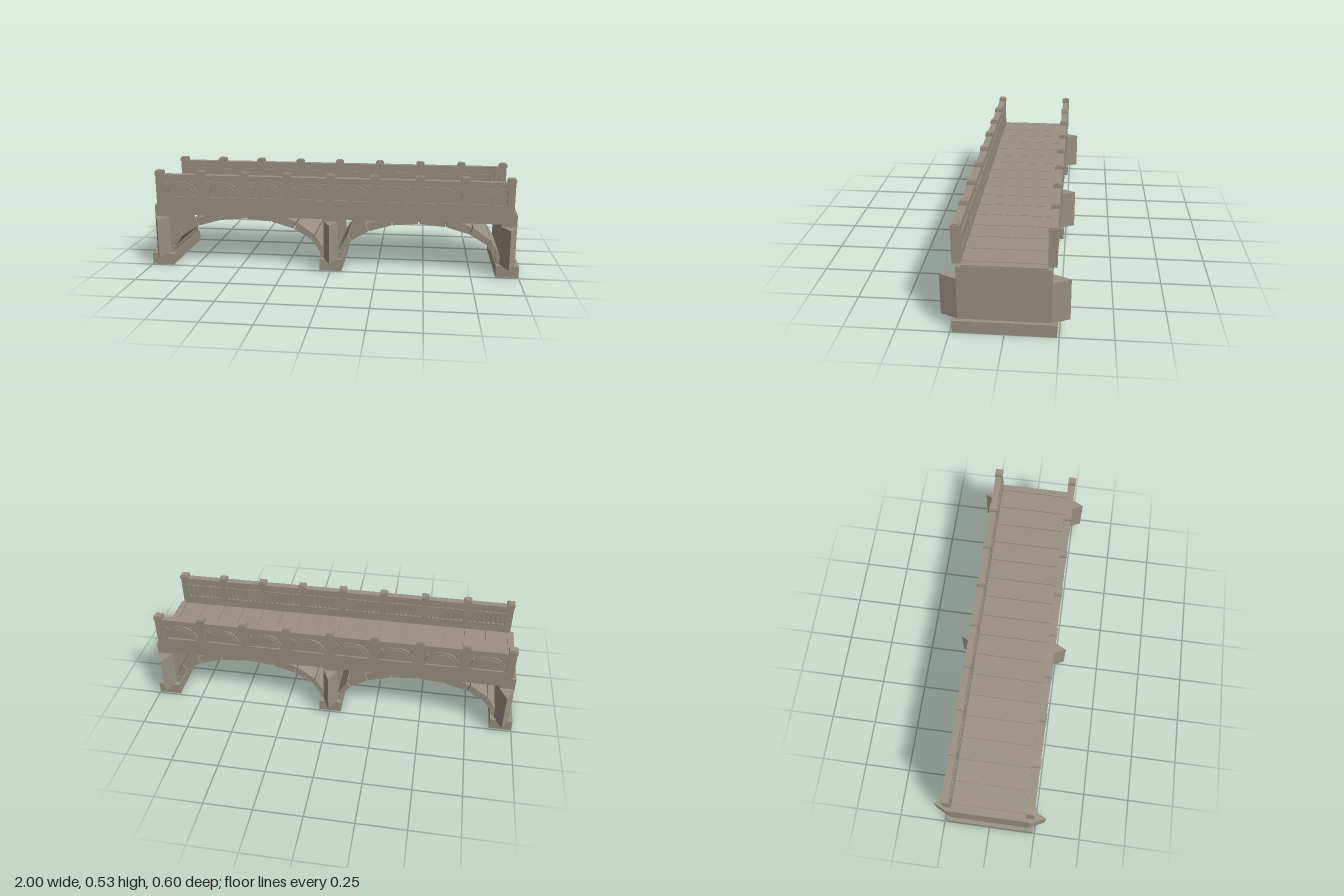
import * as THREE from 'three';

const stone = new THREE.MeshStandardMaterial({ color: 0x989082 });
stone.name = 'stone';

function add(parent, name, geometry) {
  const mesh = new THREE.Mesh(geometry, stone);
  mesh.name = name;
  parent.add(mesh);
  return mesh;
}

// Box given by its limits on each axis
function block(parent, name, x0, x1, y0, y1, z0, z1) {
  const mesh = add(parent, name, new THREE.BoxGeometry(x1 - x0, y1 - y0, z1 - z0));
  mesh.position.set((x0 + x1) / 2, (y0 + y1) / 2, (z0 + z1) / 2);
  return mesh;
}

function extrude(points, depth) {
  const shape = new THREE.Shape(points.map(([x, y]) => new THREE.Vector2(x, y)));
  return new THREE.ExtrudeGeometry(shape, { depth, bevelEnabled: false });
}

// Wedge between two ellipses, from angle a0 to a1 in degrees
function wedge(a0, a1, inner, outer, depth, steps = 1) {
  const pts = [];
  const at = (deg, [rx, ry]) => {
    const a = THREE.MathUtils.degToRad(deg);
    return [Math.cos(a) * rx, Math.sin(a) * ry];
  };
  for (let i = 0; i <= steps; i++) pts.push(at(a0 + (a1 - a0) * i / steps, outer));
  for (let i = steps; i >= 0; i--) pts.push(at(a0 + (a1 - a0) * i / steps, inner));
  return extrude(pts, depth);
}

// Pier with footing and pointed cutwaters
function makePier(x) {
  const pier = new THREE.Group();
  pier.name = 'pier';
  pier.position.x = x;
  block(pier, 'footing', -0.06, 0.06, 0, 0.062, -0.24, 0.24);
  block(pier, 'pierBody', -0.04, 0.04, 0.062, 0.3, -0.215, 0.215);
  for (const s of [1, -1]) {
    const tip = extrude([[-0.04, 0], [0.04, 0], [0, 0.084]], 0.21);
    tip.rotateX(-Math.PI / 2);
    if (s > 0) tip.rotateY(Math.PI);
    const cutwater = add(pier, 'cutwater', tip);
    cutwater.position.set(0, 0.06, s * 0.214);
  }
  return pier;
}

// Arch barrel of separate stones
function makeArch(x) {
  const arch = new THREE.Group();
  arch.name = 'archBarrel';
  arch.position.set(x, 0.06, -0.208);
  const joints = [0, 10, 30, 50, 70, 90, 110, 130, 150, 170, 180];
  for (let i = 0; i < joints.length - 1; i++) {
    add(arch, 'archStone', wedge(joints[i] + 0.5, joints[i + 1] - 0.5, [0.415, 0.21], [0.44, 0.26], 0.416));
  }
  return arch;
}

// One parapet bay, outer face toward +z
function makeBay(x, half) {
  const bay = new THREE.Group();
  bay.name = 'parapetBay';
  bay.position.x = x;
  block(bay, 'panelCore', -half, half, 0.35, 0.5, 0.207, 0.22);
  for (const s of [1, -1]) {
    block(bay, 'panelStile', s * 0.105 - 0.008, s * 0.105 + 0.008, 0.388, 0.482, 0.2, 0.23);
  }
  // Blind arch on the outer face
  const ring = add(bay, 'blindArch', wedge(0, 180, [0.08, 0.072], [0.095, 0.086], 0.01, 16));
  ring.position.set(0, 0.388, 0.219);
  const lunette = add(bay, 'lunette', wedge(0, 180, [0.0, 0.0], [0.074, 0.066], 0.005, 16));
  lunette.position.set(0, 0.388, 0.219);
  for (const s of [1, -1]) {
    block(bay, 'spandrelBar', s * 0.076 - 0.02, s * 0.076 + 0.02, 0.466, 0.474, 0.219, 0.228);
    const strut = block(bay, 'spandrelStrut', -0.003, 0.003, -0.014, 0.014, 0.219, 0.228);
    strut.position.x = s * 0.08;
    strut.position.y = 0.455;
    strut.rotation.z = -s * 0.75;
  }
  // Balusters on the inner face
  for (let i = -3; i <= 3; i++) {
    block(bay, 'baluster', i * 0.026 - 0.006, i * 0.026 + 0.006, 0.388, 0.482, 0.196, 0.208);
  }
  block(bay, 'innerRail', -0.1, 0.1, 0.453, 0.468, 0.192, 0.2);
  return bay;
}

function makeParapet() {
  const parapet = new THREE.Group();
  parapet.name = 'parapet';
  block(parapet, 'baseRail', -0.955, 0.955, 0.338, 0.39, 0.195, 0.232);
  block(parapet, 'topRail', -0.955, 0.955, 0.478, 0.51, 0.195, 0.232);
  const step = 0.235;
  for (let i = -4; i <= 4; i++) {
    const x = i * step;
    block(parapet, 'post', x - 0.019, x + 0.019, 0.338, 0.51, 0.194, 0.234);
    block(parapet, 'postCap', x - 0.022, x + 0.022, 0.507, 0.525, 0.191, 0.235);
    block(parapet, 'postTop', x - 0.017, x + 0.017, 0.525, 0.531, 0.196, 0.231);
    if (i < 4) parapet.add(makeBay(x + step / 2, step / 2 - 0.015));
  }
  return parapet;
}

export function createModel() {
  const bridge = new THREE.Group();
  bridge.name = 'stoneBridge';

  for (const x of [-0.94, 0, 0.94]) bridge.add(makePier(x));
  for (const x of [-0.47, 0.47]) bridge.add(makeArch(x));

  // Deck and paving slabs
  block(bridge, 'deck', -0.98, 0.98, 0.283, 0.334, -0.215, 0.215);
  const width = 1.88 / 16;
  for (let i = 0; i < 16; i++) {
    const x = -0.94 + i * width;
    block(bridge, 'pavingSlab', x + 0.002, x + width - 0.002, 0.334, 0.342, -0.192, 0.192);
  }
  for (const s of [1, -1]) {
    block(bridge, 'endSlab', s * 0.96 - 0.018, s * 0.96 + 0.018, 0.334, 0.342, -0.192, 0.192);
  }

  // Matching parapets on both sides
  const front = makeParapet();
  const back = makeParapet();
  back.rotation.y = Math.PI;
  bridge.add(front, back);
  return bridge;
}
